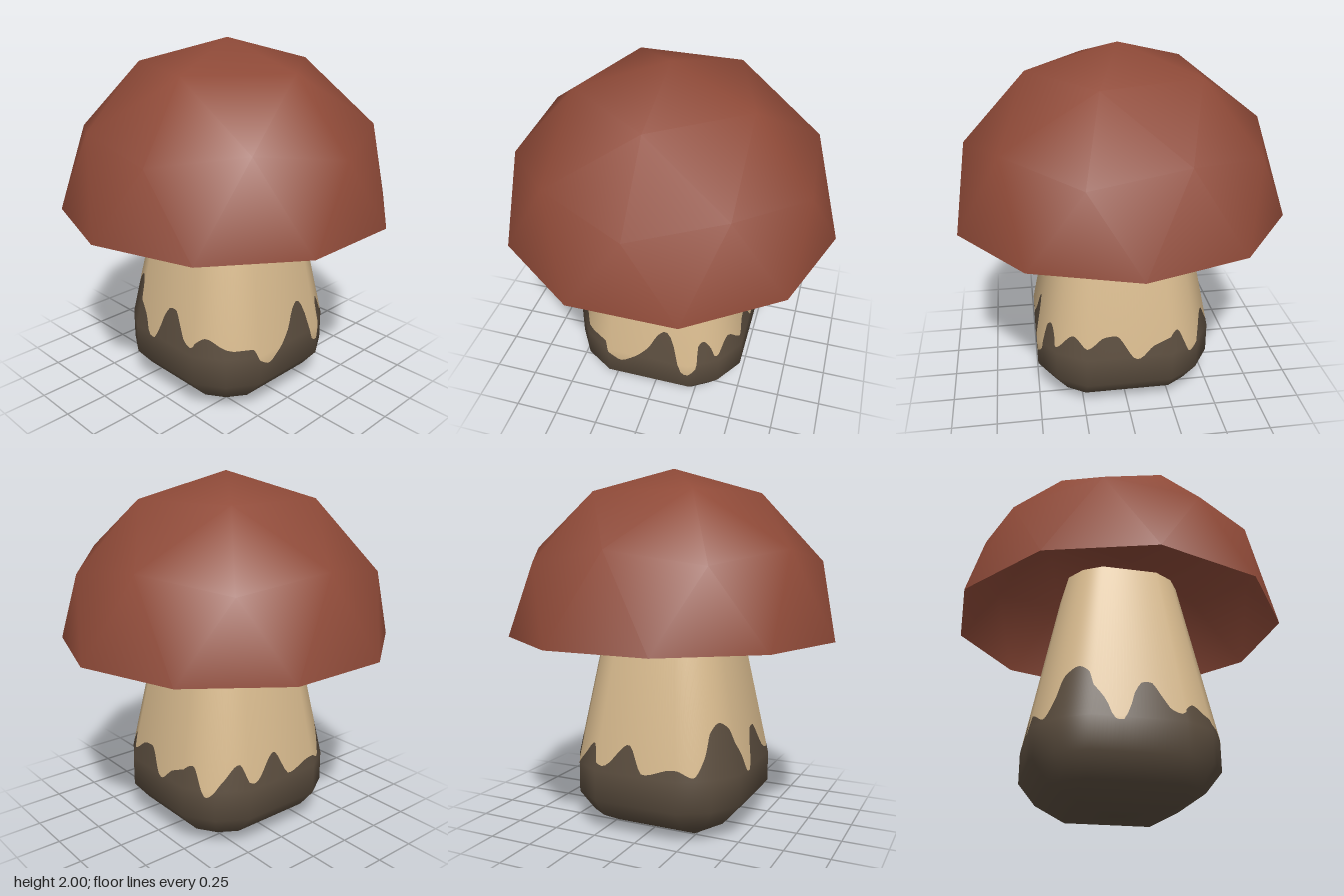
import * as THREE from 'three';

const capRed = new THREE.MeshStandardMaterial({ color: 0x8f4a38, side: THREE.DoubleSide });
capRed.name = 'capRed';
const stemTan = new THREE.MeshStandardMaterial({ color: 0xdcbe91 });
stemTan.name = 'stemTan';
const earthBrown = new THREE.MeshStandardMaterial({ color: 0x5d4f40 });
earthBrown.name = 'earthBrown';

// Cap: open upper half of a once-subdivided icosphere
function capGeometry() {
  const R = 0.93, H = 0.92, base = 1.08, pos = [], idx = [];
  const put = (deg, r, y) => {
    const a = THREE.MathUtils.degToRad(deg);
    pos.push(R * r * Math.cos(a), base + H * y, R * r * Math.sin(a));
  };
  put(0, 0, 1);
  for (let k = 0; k < 5; k++) put(72 * k, 0.526, 0.851);
  for (let k = 0; k < 10; k++) k % 2 ? put(36 * k, 0.851, 0.526) : put(36 * k, 0.894, 0.447);
  for (let k = 0; k < 10; k++) put(18 + 36 * k, 1, 0);
  const top = k => 1 + k % 5, mid = k => 6 + k % 10, rim = k => 16 + k % 10;
  for (let k = 0; k < 5; k++) {
    const m = mid(2 * k + 1);
    idx.push(0, top(k + 1), top(k));
    idx.push(top(k), m, mid(2 * k));
    idx.push(top(k), top(k + 1), m);
    idx.push(top(k + 1), mid(2 * k + 2), m);
  }
  for (let k = 0; k < 10; k++) {
    idx.push(mid(k), mid(k + 1), rim(k));
    idx.push(mid(k + 1), rim(k + 1), rim(k));
  }
  const g = new THREE.BufferGeometry();
  g.setAttribute('position', new THREE.Float32BufferAttribute(pos, 3));
  g.setIndex(idx);
  g.computeVertexNormals();
  return g;
}

// Stem rings, bottom to top: height, half width, half flat side, corner, normal slope
const RINGS = [
  [0, 0, 0, 0, -30],
  [0, 0.24, 0.24, 0.24, -2],
  [0.085, 0.405, 0.24, 0.34, -0.9],
  [0.2, 0.5, 0.24, 0.4, -0.35],
  [0.37, 0.5, 0.24, 0.4, 0.1],
  [1.3, 0.316, 0.152, 0.253, 0.2],
];
const BULGE = 4, TOP = 5;

// One of the twelve corners of a ring, with its normal
function ringCorner(ring, i) {
  const [y, a, f, c, slope] = RINGS[ring];
  const k = i % 3, q = Math.floor(i / 3) % 4;
  let [x, z] = [[a, f], [c, c], [f, a]][k];
  const ang = THREE.MathUtils.degToRad([12, 45, 78][k] + 90 * q);
  for (let n = 0; n < q; n++) [x, z] = [-z, x];
  return {
    p: new THREE.Vector3(x, y, z),
    n: new THREE.Vector3(Math.cos(ang), slope, Math.sin(ang)).normalize(),
  };
}

// Point on the stem: t runs round the twelve sides, v runs up the rings
function stemPoint(t, v) {
  const i = Math.floor(t), r = Math.min(Math.floor(v), TOP - 1);
  const mix = key => {
    const low = ringCorner(r, i)[key].lerp(ringCorner(r, i + 1)[key], t - i);
    const high = ringCorner(r + 1, i)[key].lerp(ringCorner(r + 1, i + 1)[key], t - i);
    return low.lerp(high, v - r);
  };
  return { p: mix('p'), n: mix('n').normalize() };
}

// Wavy upper edge of the earth: side position, height
const EDGE = [
  [0.19, 0.415], [0.69, 0.415], [1.1, 0.435], [1.62, 0.475], [1.95, 0.44], [2.04, 0.41], [2.15, 0.43],
  [2.24, 0.5], [2.35, 0.575], [2.43, 0.575], [2.54, 0.51], [2.6, 0.42], [2.68, 0.355],
  [2.75, 0.36], [2.86, 0.46], [3.03, 0.55], [3.18, 0.62], [3.53, 0.655], [3.9, 0.61],
  [4.15, 0.48], [4.5, 0.39], [5.02, 0.43], [5.4, 0.385], [5.6, 0.53], [5.92, 0.4],
  [6.28, 0.51], [6.8, 0.42], [7.28, 0.333], [7.72, 0.495], [8.2, 0.43], [8.41, 0.355],
  [8.67, 0.5], [8.8, 0.495], [9, 0.435], [9.5, 0.49], [10.1, 0.4], [10.22, 0.465],
  [10.45, 0.515], [10.62, 0.49], [10.75, 0.33], [11.04, 0.295], [11.1, 0.32], [11.14, 0.41],
  [11.19, 0.53], [11.28, 0.575], [11.37, 0.545], [11.5, 0.44], [11.73, 0.335], [11.84, 0.305],
  [11.96, 0.335],
];

function edgeLevel(t) {
  const n = EDGE.length;
  const s = t < EDGE[0][0] ? t + 12 : t;
  let k = 0;
  while (k < n - 1 && EDGE[k + 1][0] <= s) k++;
  const at = j => [EDGE[(j + n) % n][0] + 12 * Math.floor(j / n), EDGE[(j + n) % n][1]];
  const [p0, p1, p2, p3] = [at(k - 1), at(k), at(k + 1), at(k + 2)];
  // Smooth curve that flattens at every crest and trough
  const slope = (a, b) => (b[1] - a[1]) / (b[0] - a[0]);
  const tangent = (a, b, c) => {
    const u = slope(a, b), w = slope(b, c);
    return u * w <= 0 ? 0 : 2 * u * w / (u + w);
  };
  const d = p2[0] - p1[0], x = (s - p1[0]) / d, x2 = x * x, x3 = x2 * x;
  const h = (2 * x3 - 3 * x2 + 1) * p1[1] + (x3 - 2 * x2 + x) * d * tangent(p0, p1, p2)
    + (3 * x2 - 2 * x3) * p2[1] + (x3 - x2) * d * tangent(p1, p2, p3);
  return h < 0.37 ? 3 + (h - 0.2) / 0.17 : 4 + (h - 0.37) / 0.93;
}

// Skin between the levels that rows(edge) lists for each column
function stemGeometry(rows) {
  const pos = [], nor = [], idx = [], cols = 12 * 24;
  let count = 0;
  for (let i = 0; i <= cols; i++) {
    const t = i / 24;
    const levels = rows(edgeLevel(t % 12));
    count = levels.length;
    for (const v of levels) {
      const { p, n } = stemPoint(t, v);
      pos.push(p.x, p.y, p.z);
      nor.push(n.x, n.y, n.z);
    }
  }
  for (let i = 0; i < cols; i++) {
    for (let r = 0; r < count - 1; r++) {
      const a = i * count + r, b = a + count;
      idx.push(a, a + 1, b, b, a + 1, b + 1);
    }
  }
  const g = new THREE.BufferGeometry();
  g.setAttribute('position', new THREE.Float32BufferAttribute(pos, 3));
  g.setAttribute('normal', new THREE.Float32BufferAttribute(nor, 3));
  g.setIndex(idx);
  return g;
}

// Flat lid of the stem, inside the cap
function stemLid() {
  const pts = [];
  for (let i = 0; i < 12; i++) {
    const { p } = ringCorner(TOP, i);
    pts.push(new THREE.Vector2(p.x, -p.z));
  }
  return new THREE.ShapeGeometry(new THREE.Shape(pts)).rotateX(-Math.PI / 2).translate(0, 1.3, 0);
}

export function createModel() {
  const group = new THREE.Group();
  group.name = 'mushroom';
  const add = (name, geometry, material) => {
    const mesh = new THREE.Mesh(geometry, material);
    mesh.name = name;
    group.add(mesh);
  };
  add('cap', capGeometry(), capRed);
  add('stem', stemGeometry(e => [e, Math.max(e, BULGE), TOP]), stemTan);
  add('stemTop', stemLid(), stemTan);
  add('earthyBase', stemGeometry(e => [0, 1, 2, 3, Math.min(e, BULGE), e]), earthBrown);
  return group;
}
